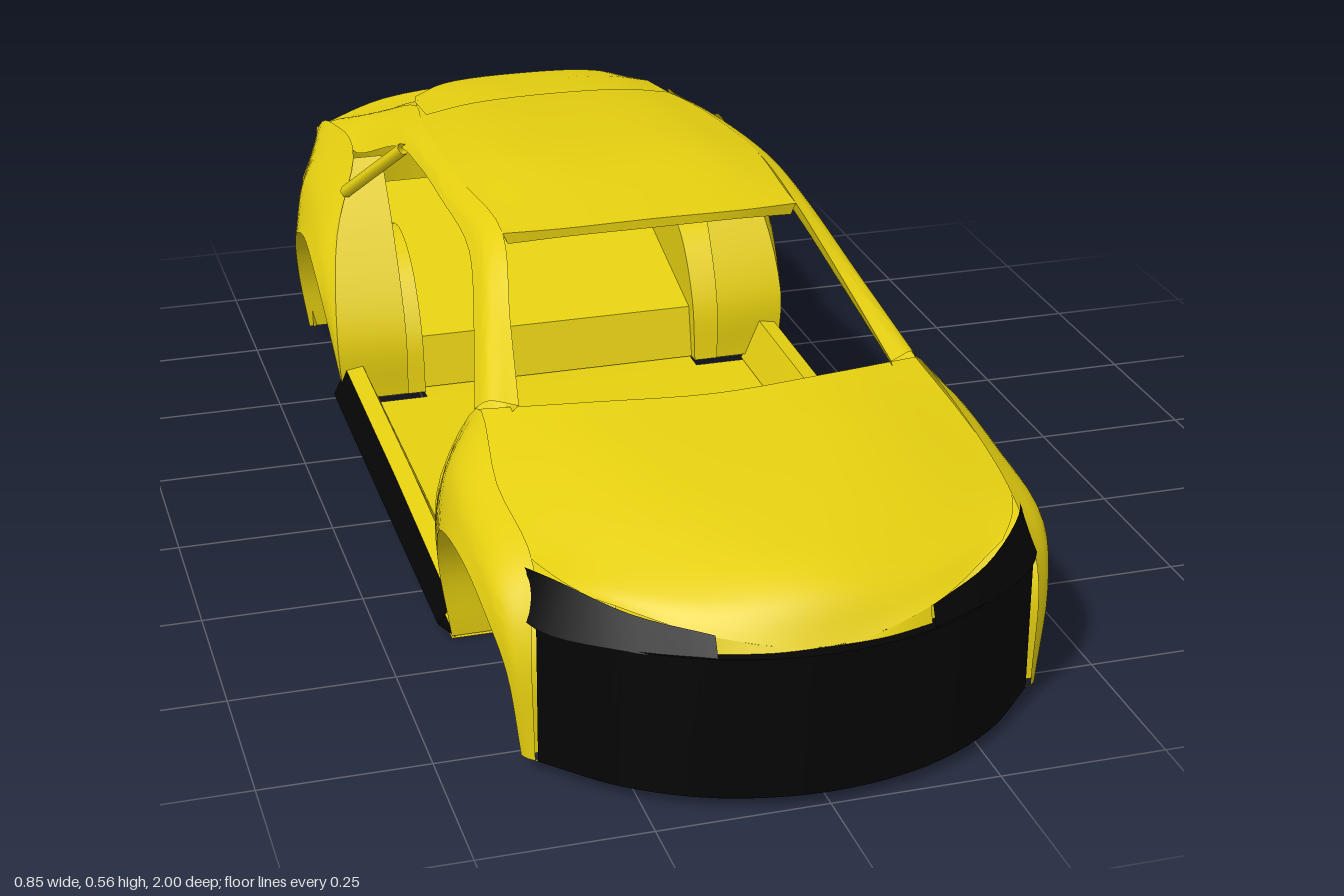
import * as THREE from 'three';
import { toCreasedNormals } from 'three/addons/utils/BufferGeometryUtils.js';

const paint = new THREE.MeshStandardMaterial({ color: 0xe6d010, side: THREE.DoubleSide });
const black = new THREE.MeshStandardMaterial({ color: 0x050505, side: THREE.DoubleSide });

// Point on a polyline or smooth curve through control points
function sample(points, t, smooth) {
  if (smooth && points.length > 2) return new THREE.CatmullRomCurve3(points).getPoint(t);
  const s = t * (points.length - 1);
  const i = Math.min(Math.floor(s), points.length - 2);
  return points[i].clone().lerp(points[i + 1], s - i);
}

// Surface through rows of points; smoothing is optional along and across the rows
function skin(rows, along = true, across = true, step = 5) {
  const vec = rows.map(r => r.map(p => new THREE.Vector3(...p)));
  const nu = (rows[0].length - 1) * (along ? step : 1);
  const nv = (rows.length - 1) * (across ? step : 1);
  const pos = [], index = [];
  for (let i = 0; i <= nu; i++) {
    const column = vec.map(r => sample(r, i / nu, along));
    for (let j = 0; j <= nv; j++) pos.push(...sample(column, j / nv, across).toArray());
  }
  for (let i = 0; i < nu; i++) for (let j = 0; j < nv; j++) {
    const a = i * (nv + 1) + j, b = a + nv + 1;
    index.push(a, b, a + 1, b, b + 1, a + 1);
  }
  const g = new THREE.BufferGeometry();
  g.setAttribute('position', new THREE.Float32BufferAttribute(pos, 3));
  g.setIndex(index);
  return toCreasedNormals(g, 0.6);
}

// Half a row, from the centre line outwards, made whole
const whole = row => [...row.slice(1).reverse().map(([x, y, z]) => [-x, y, z]), ...row];

export function createModel() {
  const car = new THREE.Group();
  car.name = 'carBodyShell';

  function add(name, geometry, material = paint) {
    const m = new THREE.Mesh(geometry, material);
    m.name = name;
    car.add(m);
    return m;
  }
  function pair(name, geometry, material) {
    add(name + 'Left', geometry, material);
    add(name + 'Right', geometry, material).scale.x = -1;
  }

  // Hood, from the cowl to the nose
  add('hood', skin([
    [[0, .385, .46], [.18, .385, .44], [.345, .372, .39]],
    [[0, .37, .6], [.19, .368, .585], [.36, .34, .57]],
    [[0, .342, .79], [.18, .336, .765], [.362, .312, .72]],
    [[0, .3, .935], [.16, .295, .905], [.335, .303, .8]],
    [[0, .24, .98], [.155, .262, .95], [.3, .292, .85]],
  ].map(whole)));

  // Nose strip under the hood edge
  add('nosePanel', skin([
    [[0, .24, .98], [.08, .248, .972], [.155, .262, .95]],
    [[0, .235, .985], [.08, .235, .98], [.155, .235, .96]],
  ].map(whole), true, false));

  // Black front fascia and headlamp areas
  const nose = y => whole([[0, y, 1], [.15, y, .975], [.27, y, .91], [.365, y, .815]]);
  add('frontFascia', skin([nose(.24), nose(.025)], true, false), black);
  add('fasciaTop', skin([
    nose(.24),
    whole([[0, .24, .975], [.15, .24, .95], [.26, .24, .89], [.36, .24, .8]]),
  ], true, false), black);
  pair('headlamp', skin([
    [[.155, .268, .957], [.255, .285, .9], [.34, .305, .81], [.388, .286, .69]],
    [[.155, .235, .973], [.27, .238, .912], [.366, .236, .82], [.398, .258, .735]],
  ], true, false), black);

  // Front fenders: wheel arch rim to hood and door edge
  const frontFender = [
    [[.385, .03, .8], [.38, .03, .81], [.37, .03, .82]],
    [[.402, .16, .79], [.395, .185, .803], [.372, .22, .815]],
    [[.418, .225, .74], [.405, .262, .75], [.355, .303, .765]],
    [[.424, .252, .62], [.403, .298, .6], [.36, .34, .58]],
    [[.424, .225, .475], [.4, .302, .43], [.345, .374, .39]],
    [[.415, .14, .42], [.412, .18, .39], [.405, .23, .37]],
    [[.395, .01, .41], [.395, .05, .405], [.395, .08, .4]],
  ];
  pair('frontFender', skin(frontFender));

  // Rear quarter panels: wheel arch rim to belt line and bumper
  const rearQuarter = [
    [[.395, .03, -.43], [.397, .035, -.42], [.4, .04, -.41]],
    [[.412, .14, -.448], [.411, .148, -.43], [.407, .155, -.415]],
    [[.424, .24, -.52], [.41, .275, -.51], [.385, .315, -.5]],
    [[.424, .272, -.62], [.397, .335, -.6], [.335, .425, -.585]],
    [[.423, .235, -.72], [.395, .33, -.76], [.325, .412, -.8]],
    [[.412, .14, -.77], [.393, .27, -.82], [.34, .38, -.9]],
    [[.395, .03, -.78], [.392, .1, -.795], [.388, .2, -.82]],
  ];
  pair('rearQuarter', skin(rearQuarter));

  // Door jambs turning inwards at the front edge of the rear quarters
  pair('rearDoorJamb', skin(rearQuarter.slice(0, 4).map(([, , [x, y, z]]) => [
    [x, y, z], [.285, y, z],
  ]), false, true));

  // Wheel wells: a hood running inwards from each rim, closed by an inner wall
  function wheelWell(panel, inner, z) {
    return skin(panel.map(([[x, y, rz]]) => [
      [x, y, rz], [inner, y, rz], [inner, .03, z],
    ]), false, true);
  }
  pair('frontWheelWell', wheelWell(frontFender, .235, .605));
  pair('rearWheelWell', wheelWell(rearQuarter, .25, -.605));

  // Windscreen pillar, roof rail and rear pillar in one strip: inner, outer, lower edge
  const rail = [
    [[.29, .388, .43], [.33, .392, .41], [.347, .37, .385]],
    [[.265, .465, .28], [.295, .465, .26], [.312, .442, .24]],
    [[.238, .54, .13], [.266, .53, .11], [.285, .505, .1]],
    [[.25, .546, -.1], [.275, .533, -.1], [.285, .52, -.1]],
    [[.245, .536, -.3], [.27, .522, -.3], [.28, .508, -.3]],
    [[.235, .521, -.46], [.264, .505, -.46], [.283, .485, -.46]],
    [[.215, .502, -.61], [.268, .474, -.61], [.325, .428, -.6]],
    [[.224, .464, -.725], [.275, .446, -.74], [.322, .414, -.77]],
    [[.255, .41, -.84], [.3, .405, -.86], [.338, .382, -.9]],
  ];
  pair('roofRail', skin(rail));
  pair('railInnerLining', skin(rail.slice(0, 7).map(([a, , c]) => [
    a, [(a[0] + c[0]) / 2 - .012, (a[1] + c[1]) / 2 - .015, (a[2] + c[2]) / 2], c,
  ])));

  // Quarter window frame bar
  pair('quarterWindowBar', new THREE.TubeGeometry(new THREE.LineCurve3(
    new THREE.Vector3(.28, .495, -.415), new THREE.Vector3(.36, .38, -.54)), 1, .011, 6));

  // Roof panel, meeting the rails at its sides
  const crown = [.547, .566, .554, .537, .516];
  add('roof', skin(rail.slice(2, 7).map(([[x, y, z]], i) => whole([
    [0, crown[i], z + (i ? 0 : .02)], [.15, crown[i] - .003, z + (i ? 0 : .015)], [x, y, z],
  ]))));
  add('windscreenHeader', skin([
    [[0, .547, .15], [.15, .544, .145], [.238, .54, .13]],
    [[0, .532, .15], [.14, .53, .145], [.23, .522, .13]],
    [[0, .53, .11], [.14, .528, .105], [.23, .522, .1]],
  ].map(whole), true, false));

  // Lip over the rear window
  add('roofSpoiler', skin([
    [[0, .54, -.5], [.14, .535, -.5], [.22, .522, -.5]],
    [[0, .527, -.62], [.14, .522, -.62], [.215, .507, -.62]],
    [[0, .504, -.735], [.14, .502, -.72], [.2, .494, -.685]],
    [[0, .495, -.73], [.14, .493, -.715], [.2, .485, -.68]],
    [[0, .512, -.61], [.14, .508, -.61], [.215, .5, -.61]],
  ].map(whole), true, false));

  // Tail: deck behind the window, spoiler edge, lamp recess, bumper and lower apron
  const tail = [
    [[0, .404, -.93], [.15, .406, -.912], [.257, .41, -.84]],
    [[0, .404, -.965], [.18, .402, -.942], [.315, .396, -.865]],
    [[0, .402, -1], [.2, .398, -.972], [.345, .378, -.9]],
    [[0, .387, -.99], [.2, .383, -.962], [.347, .364, -.89]],
    [[0, .335, -.955], [.21, .332, -.932], [.37, .325, -.86]],
    [[0, .32, -.987], [.23, .315, -.955], [.385, .3, -.845]],
    [[0, .205, -.987], [.24, .203, -.952], [.393, .2, -.815]],
    [[0, .195, -.935], [.21, .193, -.915], [.392, .19, -.79]],
    [[0, .03, -.912], [.2, .03, -.893], [.388, .03, -.775]],
  ].map(whole);
  add('rearDeck', skin(tail.slice(0, 4), true, false));
  add('tailPanel', skin(tail.slice(3, 6), true, false));
  add('rearBumper', skin(tail.slice(5), true, false));

  // Underbody with wheel cut-outs, as stations of z, half width and height
  add('underbody', skin([
    [.98, .01, .027], [.95, .16, .026], [.89, .28, .026], [.81, .37, .025], [.8, .235, .025],
    [.41, .235, .006], [.41, .395, .006], [-.42, .395, .025], [-.42, .25, .025],
    [-.78, .25, .03], [-.785, .385, .03], [-.89, .2, .031], [-.905, .01, .031],
  ].map(([z, w, y]) => [[-w, y, z], [w, y, z]]), false, false));

  // Step and raised floor behind the cabin
  add('rearFloor', skin([-1, 1].map(s => [
    [s * .25, .03, -.45], [s * .25, .12, -.47], [s * .25, .25, -.92],
  ]), false, false));

  // Black side sills, rising to the rear, with painted inner covers
  const sillStations = [[.41, .008, .062], [0, .016, .085], [-.42, .026, .098]];
  pair('sideSill', skin(sillStations.map(([z, low, top]) => [
    [.39, low, z], [.416, low + .025, z], [.403, (low + top) / 2 + .015, z], [.394, top, z],
  ]), false, false), black);
  pair('sillCover', skin(sillStations.map(([z, low, top]) => [
    [.394, top, z], [.365, top + .005, z], [.335, low + .004, z],
  ]), false, false));

  return car;
}
